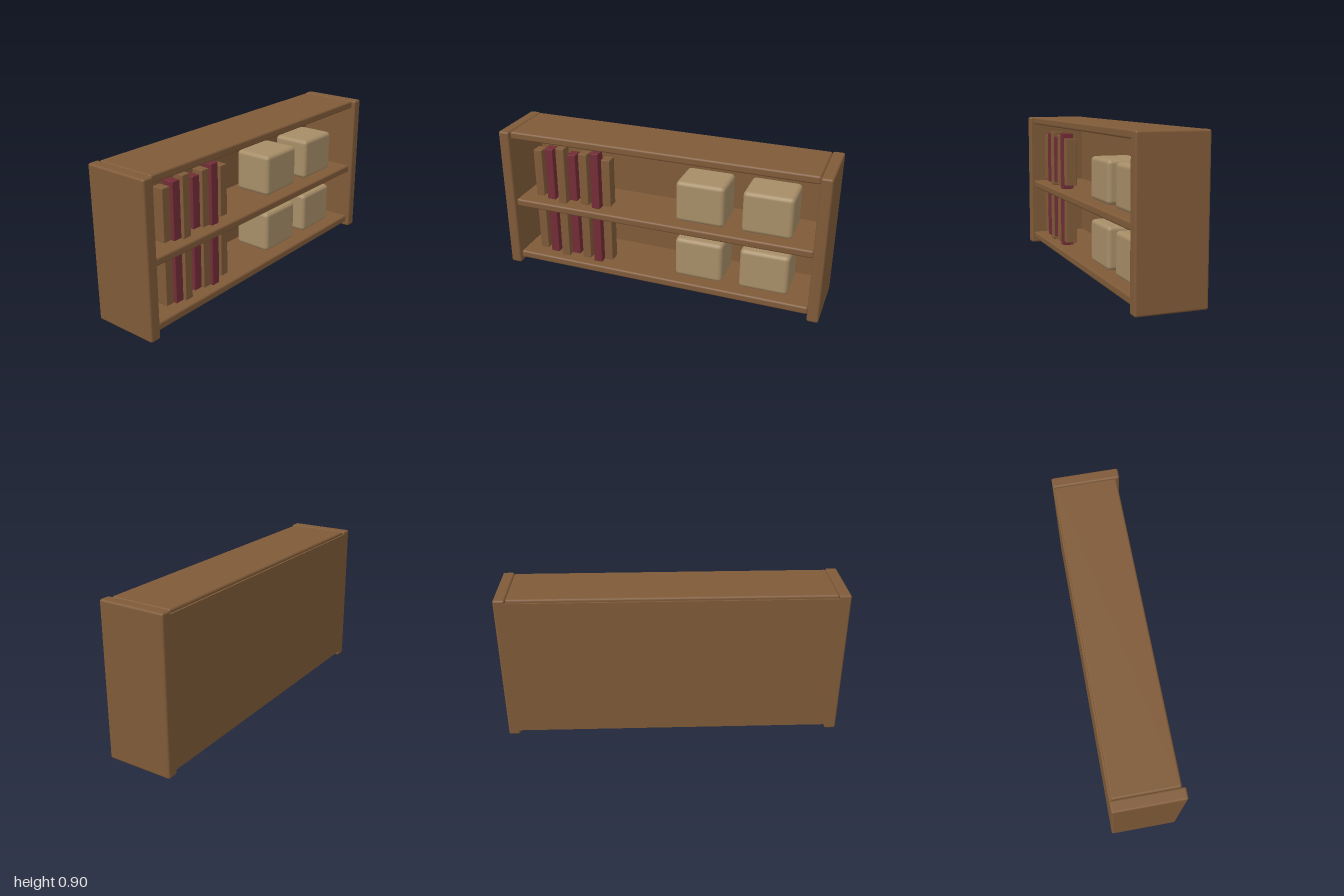
import * as THREE from 'three';
import { RoundedBoxGeometry } from 'three/addons/geometries/RoundedBoxGeometry.js';

export function createModel() {
  const wood = new THREE.MeshStandardMaterial({ name: 'brown wood', color: 0x7f5a38 });
  const wine = new THREE.MeshStandardMaterial({ name: 'wine red', color: 0x722c36 });
  const tan = new THREE.MeshStandardMaterial({ name: 'tan basket', color: 0xa68d67 });
  const model = new THREE.Group();
  model.name = 'bookcase';

  // Rounded block given by its size and centre
  function block(name, material, [w, h, d], [x, y, z], radius) {
    const mesh = new THREE.Mesh(new RoundedBoxGeometry(w, h, d, 2, radius), material);
    mesh.name = name;
    mesh.position.set(x, y, z);
    model.add(mesh);
  }

  // Side panels
  for (const s of [-1, 1]) {
    block(s > 0 ? 'leftPanel' : 'rightPanel', wood, [0.068, 0.9, 0.4], [s * 0.966, 0.45, 0], 0.012);
  }

  // Bottom, middle and top boards
  ['bottomShelf', 'middleShelf', 'topBoard'].forEach((name, i) => {
    block(name, wood, [1.864, 0.048, 0.37], [0, [0.055, 0.427, 0.876][i], -0.005], 0.012);
  });

  // Back panel
  const back = new THREE.Mesh(new THREE.BoxGeometry(1.97, 0.85, 0.017), wood);
  back.name = 'backPanel';
  back.position.set(0, 0.455, -0.1912);
  model.add(back);

  // Contents of both levels
  for (const floor of [0.08, 0.452]) {
    // Upright books in three repeating heights, alternating colours
    for (let i = 0; i < 7; i++) {
      block('book', i % 2 ? wine : wood, [0.054, 0.3 + (i % 3) * 0.03, 0.07],
        [-0.783 + i * 0.075, floor + 0.18, 0.095], 0.003);
    }
    // Storage boxes
    for (const x of [0.247, 0.647]) {
      block('storageBox', tan, [0.295, 0.254, 0.24], [x, floor + 0.129, -0.01], 0.025);
    }
  }
  return model;
}
